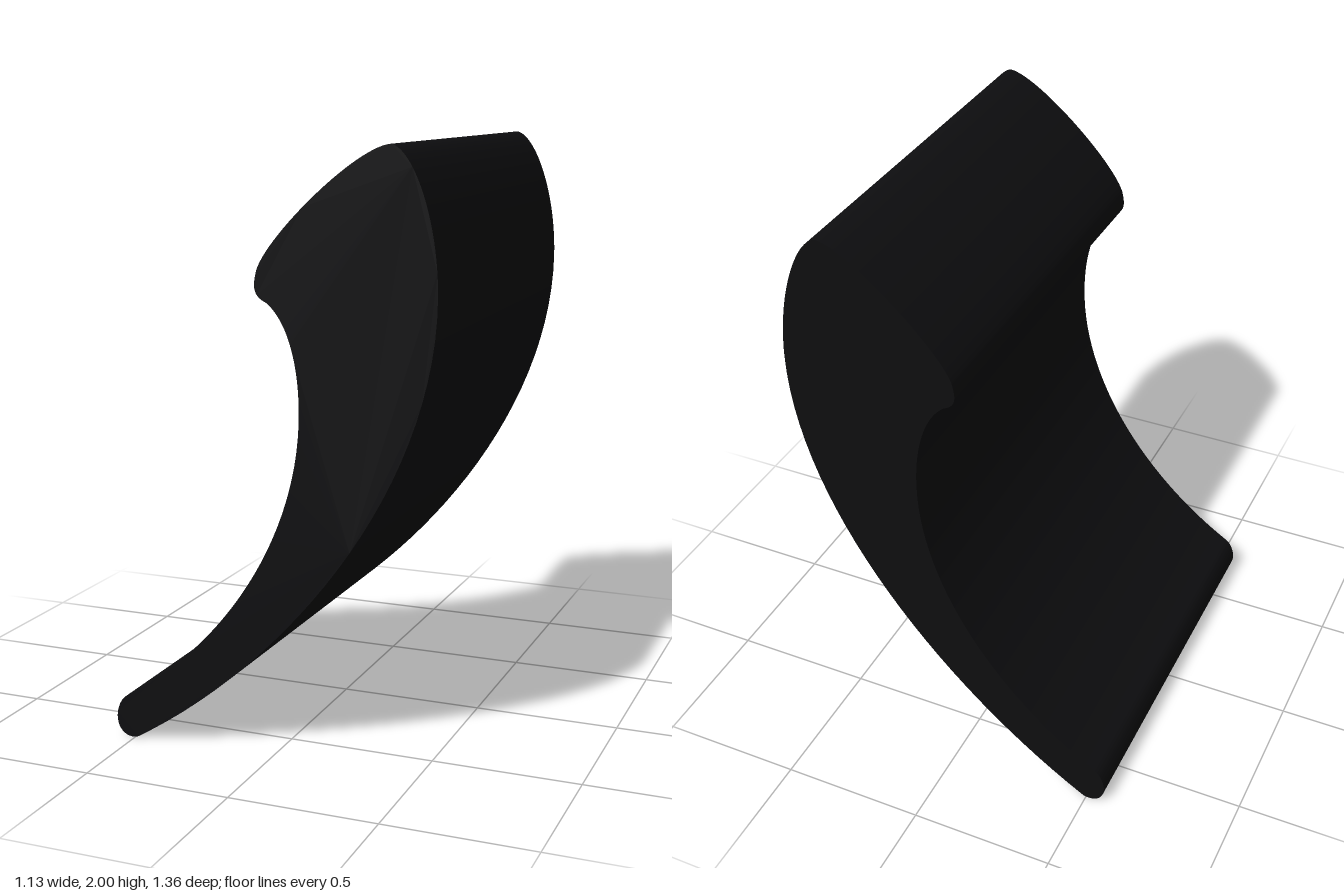
import * as THREE from 'three';
import { toCreasedNormals } from 'three/addons/utils/BufferGeometryUtils.js';

const WIDTH = 1.36;

export function createModel() {
  const group = new THREE.Group();
  group.name = 'curvedHook';

  // Side profile, clockwise from the top tip
  const profile = new THREE.Shape();
  profile.moveTo(0.41, 2.0);
  profile.bezierCurveTo(0.48, 1.99, 0.562, 1.78, 0.562, 1.55); // upper back
  profile.bezierCurveTo(0.562, 0.95, 0.05, 0.33, -0.485, 0.01); // long outer sweep
  profile.bezierCurveTo(-0.51, -0.005, -0.565, 0.005, -0.566, 0.07); // rounded foot
  profile.bezierCurveTo(-0.566, 0.1, -0.55, 0.135, -0.53, 0.147);
  profile.bezierCurveTo(-0.16, 0.37, 0.11, 0.77, 0.11, 1.17); // inner sweep
  profile.bezierCurveTo(0.11, 1.33, 0.07, 1.46, 0, 1.51); // hollow below the lip
  profile.bezierCurveTo(-0.05, 1.53, -0.04, 1.57, -0.03, 1.61); // lip
  profile.bezierCurveTo(0.01, 1.72, 0.3, 1.99, 0.41, 2.0); // sloping top

  const geometry = new THREE.ExtrudeGeometry(profile, {
    depth: WIDTH, bevelEnabled: false, curveSegments: 28,
  });
  geometry.translate(0, 0, -WIDTH / 2);

  // Smooth around the curve, sharp at the two flat ends
  const body = new THREE.Mesh(
    toCreasedNormals(geometry, Math.PI / 5),
    new THREE.MeshStandardMaterial({ color: 0x0e0e10 }),
  );
  body.name = 'hookBody';
  group.add(body);
  return group;
}
